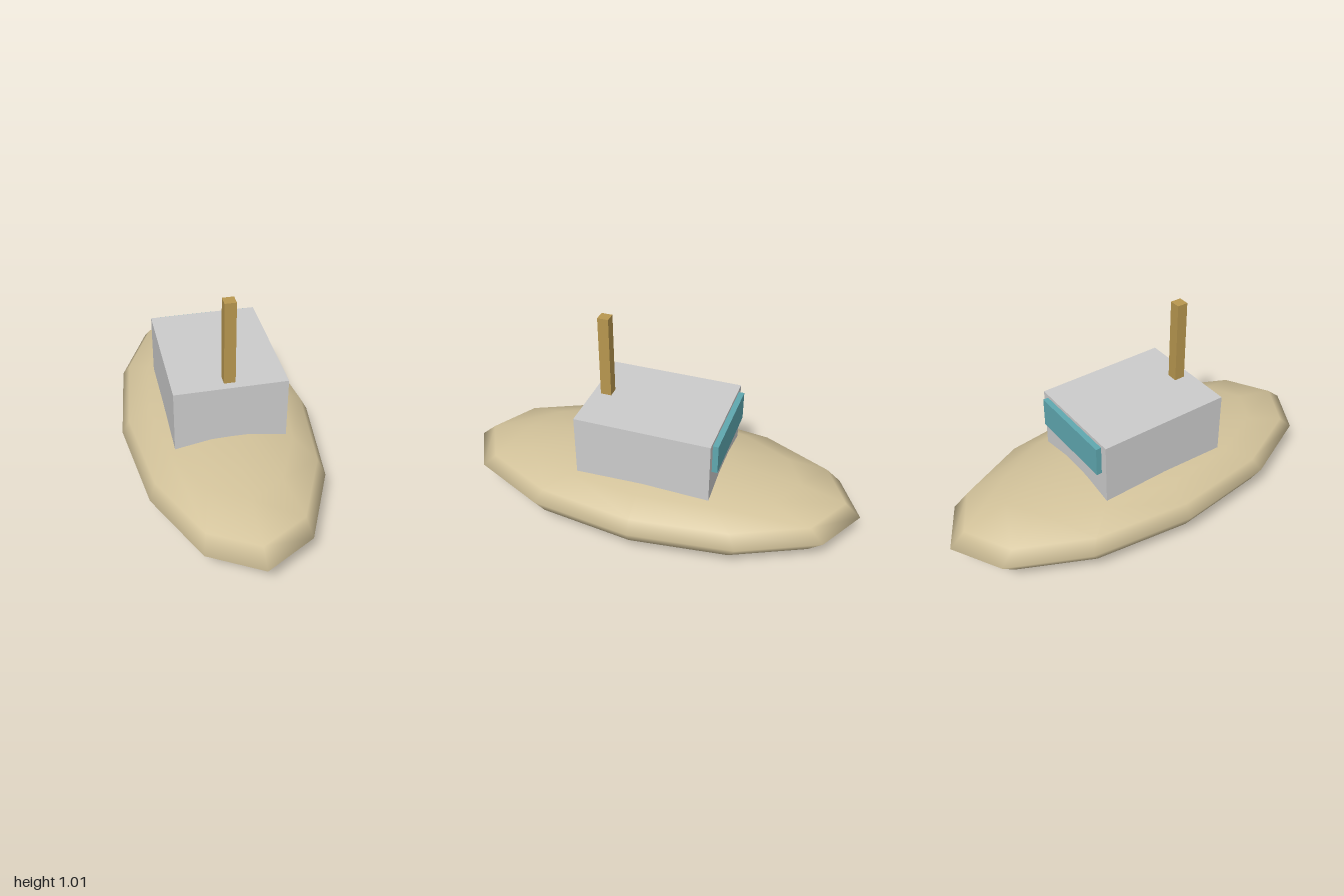
import * as THREE from 'three';

const paint = (color) => new THREE.MeshStandardMaterial({ color });

function box(name, size, position, color) {
  const mesh = new THREE.Mesh(new THREE.BoxGeometry(...size), paint(color));
  mesh.name = name;
  mesh.position.set(...position);
  return mesh;
}

export function createModel() {
  const group = new THREE.Group();
  group.name = 'boat';

  // Hull: a coarse, smooth-shaded ellipsoid
  const hull = new THREE.Mesh(new THREE.SphereGeometry(1, 12, 8), paint(0xd2c29a));
  hull.name = 'hull';
  hull.scale.set(0.472, 0.172, 1);
  hull.position.y = 0.172;
  group.add(hull);

  // Cabin, sunk a little into the hull
  group.add(box('cabin', [0.524, 0.327, 0.656], [0, 0.4435, 0], 0xcccccc));

  // Mast on the cabin roof
  group.add(box('mast', [0.053, 0.435, 0.053], [0, 0.7975, 0.262], 0xb8974f));

  // Window on the back wall of the cabin
  group.add(box('window', [0.452, 0.146, 0.033], [0, 0.518, -0.338], 0x5fa8b0));

  return group;
}
